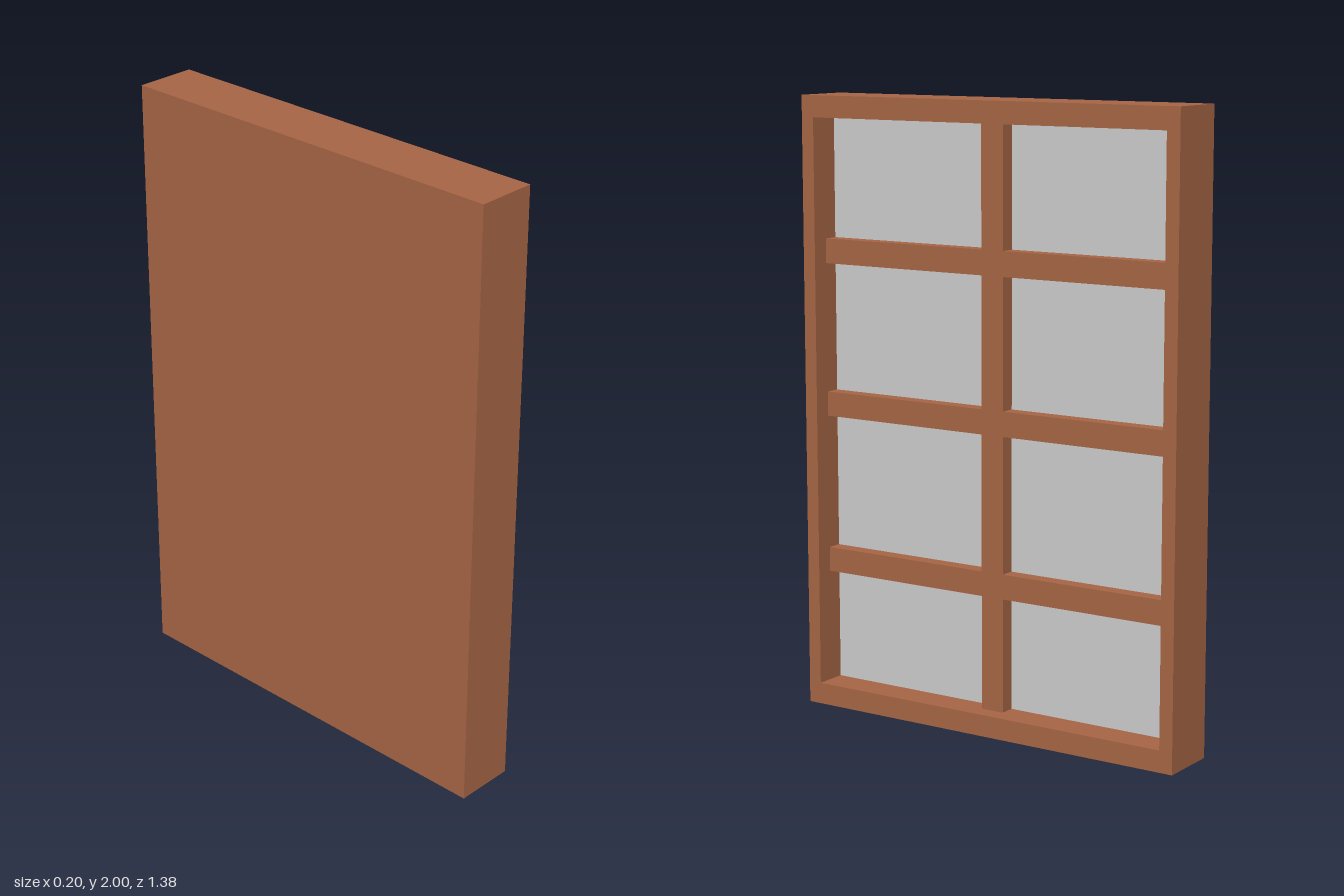
import * as THREE from 'three';

export function createModel() {
  const group = new THREE.Group();
  const wood = new THREE.MeshStandardMaterial({ color: 0xa66545 });
  const pane = new THREE.MeshStandardMaterial({ color: 0xcccccc });

  // Box given by its limits on each axis
  function box(name, material, [x0, x1], [y0, y1], [z0, z1]) {
    const mesh = new THREE.Mesh(new THREE.BoxGeometry(x1 - x0, y1 - y0, z1 - z0), material);
    mesh.position.set((x0 + x1) / 2, (y0 + y1) / 2, (z0 + z1) / 2);
    mesh.name = name;
    group.add(mesh);
  }

  const W = 0.69, H = 2, D = 0.1;        // half width, height, half depth
  const inW = 0.645, y0 = 0.07, y1 = 1.93; // opening
  const paneX = -0.008, barX = 0.042;    // faces of the panes and the bars

  // Outer frame: one ring with a rectangular opening, facing +x
  const outline = new THREE.Shape([[-W, 0], [W, 0], [W, H], [-W, H]].map(p => new THREE.Vector2(...p)));
  outline.holes.push(new THREE.Path([[-inW, y0], [-inW, y1], [inW, y1], [inW, y0]].map(p => new THREE.Vector2(...p))));
  const ring = new THREE.ExtrudeGeometry(outline, { depth: 2 * D, bevelEnabled: false });
  ring.translate(0, 0, -D).rotateY(Math.PI / 2);
  const frame = new THREE.Mesh(ring, wood);
  frame.name = 'frame';
  group.add(frame);

  // Solid backing and the grey sheet in front of it
  box('backPanel', wood, [-D, -0.03], [y0, y1], [-inW, inW]);
  box('windowPane', pane, [-0.03, paneX], [y0, y1], [-inW, inW]);

  // Horizontal bars, with upright bar pieces between them
  const bars = [[0.44, 0.52], [0.96, 1.04], [1.46, 1.54]];
  bars.forEach(range => box('horizontalBar', wood, [paneX, barX], range, [-inW, inW]));
  const stops = [y0, ...bars.flat(), y1];
  for (let i = 0; i < stops.length; i += 2) {
    box('uprightBar', wood, [paneX, barX], [stops[i], stops[i + 1]], [-0.04, 0.04]);
  }

  return group;
}
